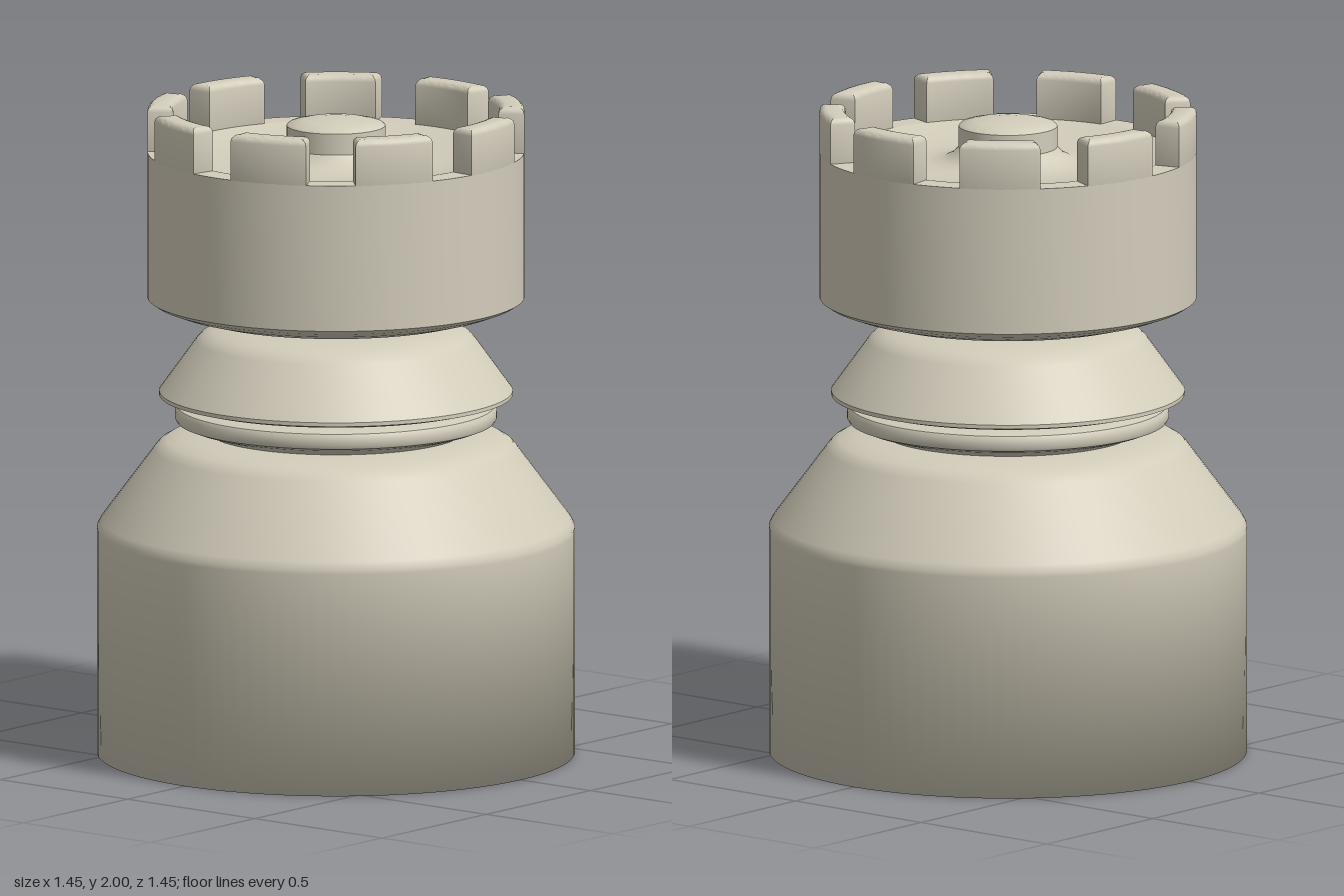
import * as THREE from 'three';
import { toCreasedNormals } from 'three/addons/utils/BufferGeometryUtils.js';

const SEGMENTS = 90;
const stone = new THREE.MeshStandardMaterial({ color: 0xd2ccba });
stone.name = 'warm stone';

// Turned part from [radius, height] pairs, listed bottom to top on the outside
function turned(name, profile, crease = 0.6) {
  const points = profile.map(([r, y]) => new THREE.Vector2(r, y));
  let geometry = new THREE.LatheGeometry(points, SEGMENTS);
  if (crease) geometry = toCreasedNormals(geometry, crease);
  const mesh = new THREE.Mesh(geometry, stone);
  mesh.name = name;
  return mesh;
}

// One ring sector with softened top edges
function battlementGeometry(inner, outer, bottom, top, from, to) {
  const bevel = 0.02;
  const shape = new THREE.Shape();
  shape.absarc(0, 0, outer, from, to, false);
  shape.absarc(0, 0, inner, to, from, true);
  shape.closePath();
  const geometry = new THREE.ExtrudeGeometry(shape, {
    depth: top - bottom - 2 * bevel,
    curveSegments: 10,
    bevelEnabled: true,
    bevelThickness: bevel,
    bevelSize: bevel,
    bevelOffset: -bevel,
    bevelSegments: 3,
  });
  geometry.rotateX(-Math.PI / 2);
  geometry.translate(0, bottom + bevel, 0);
  return toCreasedNormals(geometry, 0.7);
}

export function createModel() {
  const model = new THREE.Group();
  model.name = 'rook';

  // Heavy drum, softly shaded into its underside
  model.add(turned('base', [[0, 0], [0.727, 0], [0.727, 0.685]], 0));

  // Sloping shoulder with a rounded top
  model.add(turned('shoulder', [
    [0.727, 0.685], [0.727, 0.7], [0.715, 0.722], [0.553, 0.94], [0.538, 0.957],
    [0.515, 0.97], [0.475, 0.981], [0.43, 0.989], [0.38, 0.994], [0.3, 0.996],
  ]));

  // Thin ring in the neck
  model.add(turned('neckRing', [
    [0.38, 0.985], [0.4, 1.0], [0.46, 1.018], [0.485, 1.028], [0.49, 1.038],
    [0.49, 1.062], [0.483, 1.074], [0.455, 1.081], [0.41, 1.088], [0.4, 1.1],
  ]));

  // Flared collar
  model.add(turned('collar', [
    [0.36, 1.094], [0.5, 1.098], [0.538, 1.108], [0.538, 1.12], [0.425, 1.277],
    [0.408, 1.294], [0.38, 1.308], [0.335, 1.319], [0.28, 1.326], [0.2, 1.329], [0.2, 1.345],
  ]));

  // Tower wall with a domed underside and the floor of the notches
  model.add(turned('tower', [
    [0.18, 1.331], [0.25, 1.334], [0.35, 1.344], [0.44, 1.361], [0.51, 1.38],
    [0.555, 1.397], [0.574, 1.41], [0.574, 1.86], [0.495, 1.86],
  ]));

  // Dished floor that sweeps up into the central knob
  model.add(turned('floor', [
    [0.495, 1.86], [0.45, 1.85], [0.38, 1.838], [0.3, 1.83], [0.24, 1.831],
    [0.2, 1.838], [0.17, 1.852], [0.15, 1.875],
  ]));
  model.add(turned('knob', [
    [0.15, 1.875], [0.15, 1.94], [0.143, 1.947], [0.1, 1.957], [0.05, 1.963], [0, 1.965],
  ]));

  // Nine battlements around the rim
  const from = THREE.MathUtils.degToRad(5.3 - 90);
  const to = THREE.MathUtils.degToRad(30.2 - 90);
  const geometry = battlementGeometry(0.495, 0.574, 1.84, 2.0, from, to);
  const battlements = new THREE.Group();
  battlements.name = 'battlements';
  for (let i = 0; i < 9; i++) {
    const block = new THREE.Mesh(geometry, stone);
    block.name = 'battlement';
    block.rotation.y = (i * Math.PI * 2) / 9;
    battlements.add(block);
  }
  model.add(battlements);

  return model;
}
